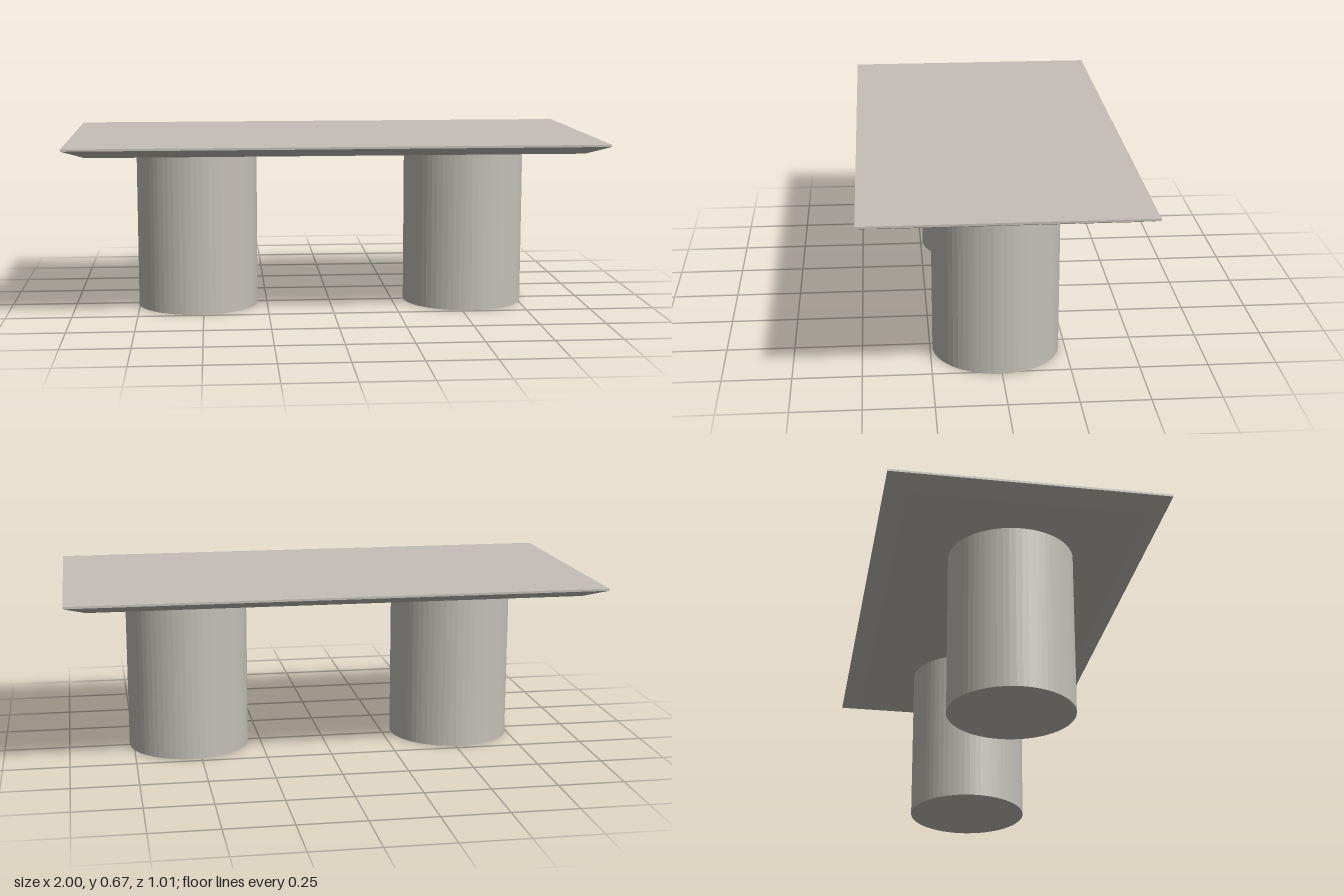
import * as THREE from 'three';

// Closed slab made of rectangular cross-sections [halfX, y, halfZ], bottom to top
function rectLoft(sections) {
  const pos = [];
  const ring = ([x, y, z]) => [[-x, y, z], [x, y, z], [x, y, -z], [-x, y, -z]];
  const quad = (a, b, c, d) => pos.push(...a, ...b, ...c, ...a, ...c, ...d);
  const rings = sections.map(ring);
  for (let s = 0; s < rings.length - 1; s++) {
    for (let i = 0; i < 4; i++) {
      const j = (i + 1) % 4;
      quad(rings[s][i], rings[s][j], rings[s + 1][j], rings[s + 1][i]);
    }
  }
  quad(...rings[rings.length - 1]);
  quad(...rings[0].slice().reverse());
  const geo = new THREE.BufferGeometry();
  geo.setAttribute('position', new THREE.Float32BufferAttribute(pos, 3));
  geo.computeVertexNormals();
  return geo;
}

export function createModel() {
  const group = new THREE.Group();
  const stone = new THREE.MeshStandardMaterial({ color: 0xc4c0b8 });
  stone.name = 'warm grey stone';
  stone.flatShading = true;

  // Tabletop: thin square edge above a wide underside bevel
  const top = new THREE.Mesh(
    rectLoft([[0.92, 0.63, 0.428], [1, 0.663, 0.506], [1, 0.671, 0.506]]),
    stone
  );
  top.name = 'tabletop';
  group.add(top);

  // Two faceted drum legs
  const legGeo = new THREE.CylinderGeometry(0.234, 0.234, 0.63, 64);
  for (const [name, x] of [['rightLeg', -0.521], ['leftLeg', 0.532]]) {
    const leg = new THREE.Mesh(legGeo, stone);
    leg.name = name;
    leg.position.set(x, 0.315, 0.007);
    group.add(leg);
  }
  return group;
}
